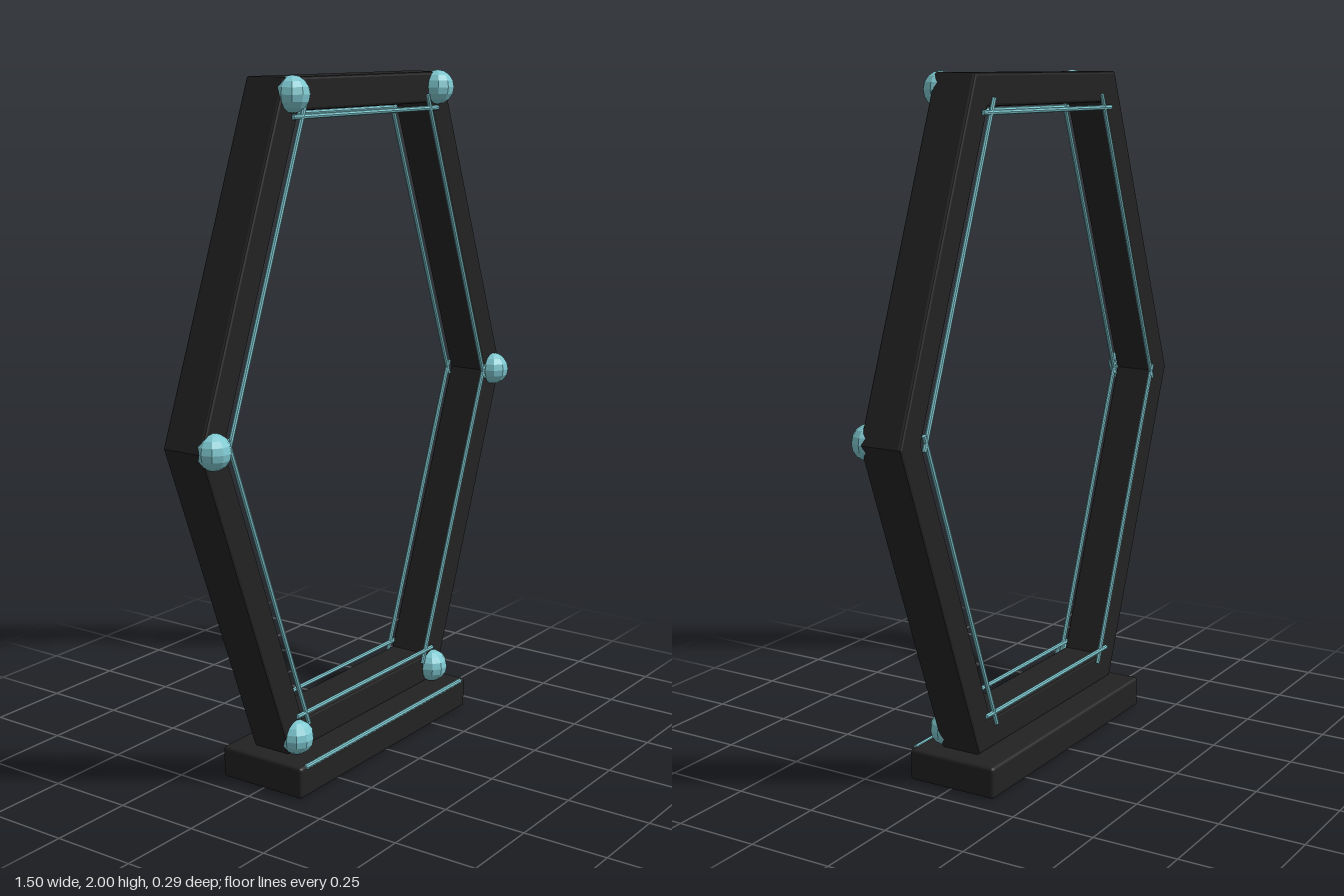
import * as THREE from 'three';
import { RoundedBoxGeometry } from 'three/addons/geometries/RoundedBoxGeometry.js';

// centreline corners of the hexagonal frame, counter-clockwise from lower left
const CORNERS = [[-0.354, 0.145], [0.354, 0.145], [0.702, 1.05], [0.354, 1.95], [-0.354, 1.95], [-0.702, 1.05]]
  .map(([x, y]) => new THREE.Vector2(x, y));
const MID_Z = -0.004;

// segment i of the centreline, shifted sideways towards the inside
function shiftedSegment(i, inset) {
  const a = CORNERS[i], b = CORNERS[(i + 1) % 6];
  const d = b.clone().sub(a).normalize();
  const n = new THREE.Vector2(-d.y, d.x).multiplyScalar(inset);
  return [a.clone().add(n), b.clone().add(n), d];
}

// hexagon with all sides moved inwards (positive) or outwards (negative)
function offsetHexagon(inset) {
  return CORNERS.map((_, i) => {
    const [p, , d] = shiftedSegment((i + 5) % 6, inset);
    const [q, , e] = shiftedSegment(i, inset);
    const t = q.clone().sub(p).cross(e) / d.cross(e);
    return p.clone().addScaledVector(d, t);
  });
}

export function createModel() {
  const black = new THREE.MeshStandardMaterial({ color: 0x222222, flatShading: true });
  black.name = 'charcoal';
  const teal = new THREE.MeshStandardMaterial({ color: 0x7ec8d0, flatShading: true });
  teal.name = 'paleTeal';

  const model = new THREE.Group();
  const add = (name, geometry, material, x = 0, y = 0, z = 0) => {
    const mesh = new THREE.Mesh(geometry, material);
    mesh.name = name;
    mesh.position.set(x, y, z);
    model.add(mesh);
    return mesh;
  };

  // thin round trim rod between two points at one depth
  const rod = (name, a, b, z) => {
    const mesh = add(name, new THREE.CylinderGeometry(0.007, 0.007, a.distanceTo(b), 8), teal,
      (a.x + b.x) / 2, (a.y + b.y) / 2, z);
    mesh.rotation.z = Math.atan2(b.y - a.y, b.x - a.x) - Math.PI / 2;
  };

  // foot
  add('base', new RoundedBoxGeometry(0.87, 0.093, 0.282, 2, 0.01), black, 0, 0.0465, MID_Z);
  rod('baseTrim', new THREE.Vector2(-0.41, 0.09), new THREE.Vector2(0.41, 0.09), 0.134);

  // mitred hexagonal frame with softened edges
  const bevel = 0.008;
  const shape = new THREE.Shape(offsetHexagon(-0.045 + bevel));
  shape.holes.push(new THREE.Path(offsetHexagon(0.045 - bevel).reverse()));
  const frame = new THREE.ExtrudeGeometry(shape, {
    depth: 0.13 - 2 * bevel, bevelEnabled: true, bevelSize: bevel, bevelThickness: bevel, bevelSegments: 2,
  });
  frame.translate(0, 0, -0.065 + bevel);
  add('frame', frame, black, 0, 0, MID_Z);

  // inner trim rods at front and back, and a stud on every corner
  const studGeometry = new THREE.SphereGeometry(0.05, 10, 8);
  CORNERS.forEach((c, i) => {
    const [a, b] = shiftedSegment(i, 0.06);
    rod('frontTrim', a, b, MID_Z + 0.067);
    rod('backTrim', a, b, MID_Z - 0.067);
    add('cornerStud', studGeometry, teal, c.x, c.y, 0.062);
  });

  return model;
}
